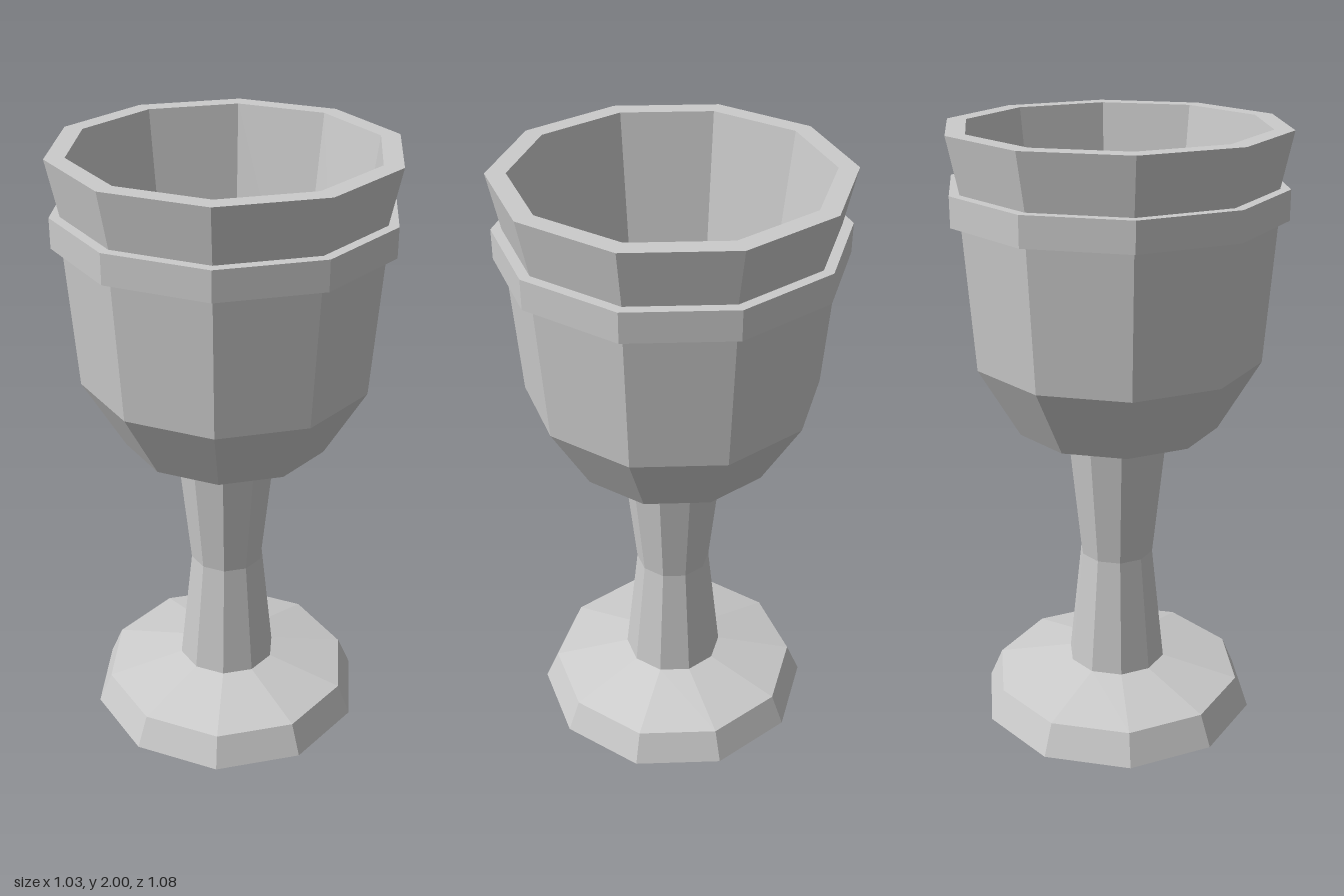
import * as THREE from 'three';

const SIDES = 10;
const material = new THREE.MeshStandardMaterial({ color: 0xcccccc, flatShading: true });

// Ten-sided turned part; profile is [radius, height], running up the outside
function turned(name, profile) {
  const points = profile.map(([r, y]) => new THREE.Vector2(r, y));
  const mesh = new THREE.Mesh(new THREE.LatheGeometry(points, SIDES), material);
  mesh.name = name;
  return mesh;
}

export function createModel() {
  const goblet = new THREE.Group();
  goblet.name = 'goblet';

  // Sloped foot, closed underneath
  goblet.add(turned('foot', [[0, 0], [0.47, 0], [0.425, 0.105], [0.167, 0.165], [0, 0.165]]));

  // Stem with a narrow waist
  goblet.add(turned('stem', [[0.167, 0.165], [0.124, 0.57], [0.167, 0.985]]));

  // Hollow cup: outside wall, flared lip, rim, inside wall and floor
  goblet.add(turned('cup', [
    [0, 0.985], [0.167, 0.985], [0.335, 1.04], [0.47, 1.275], [0.503, 1.73],
    [0.503, 1.825], [0.54, 2], [0.478, 2], [0.37, 1.2], [0, 1.2],
  ]));

  // Raised band below the lip
  goblet.add(turned('band', [[0.495, 1.73], [0.536, 1.73], [0.536, 1.825], [0.495, 1.825]]));

  return goblet;
}
